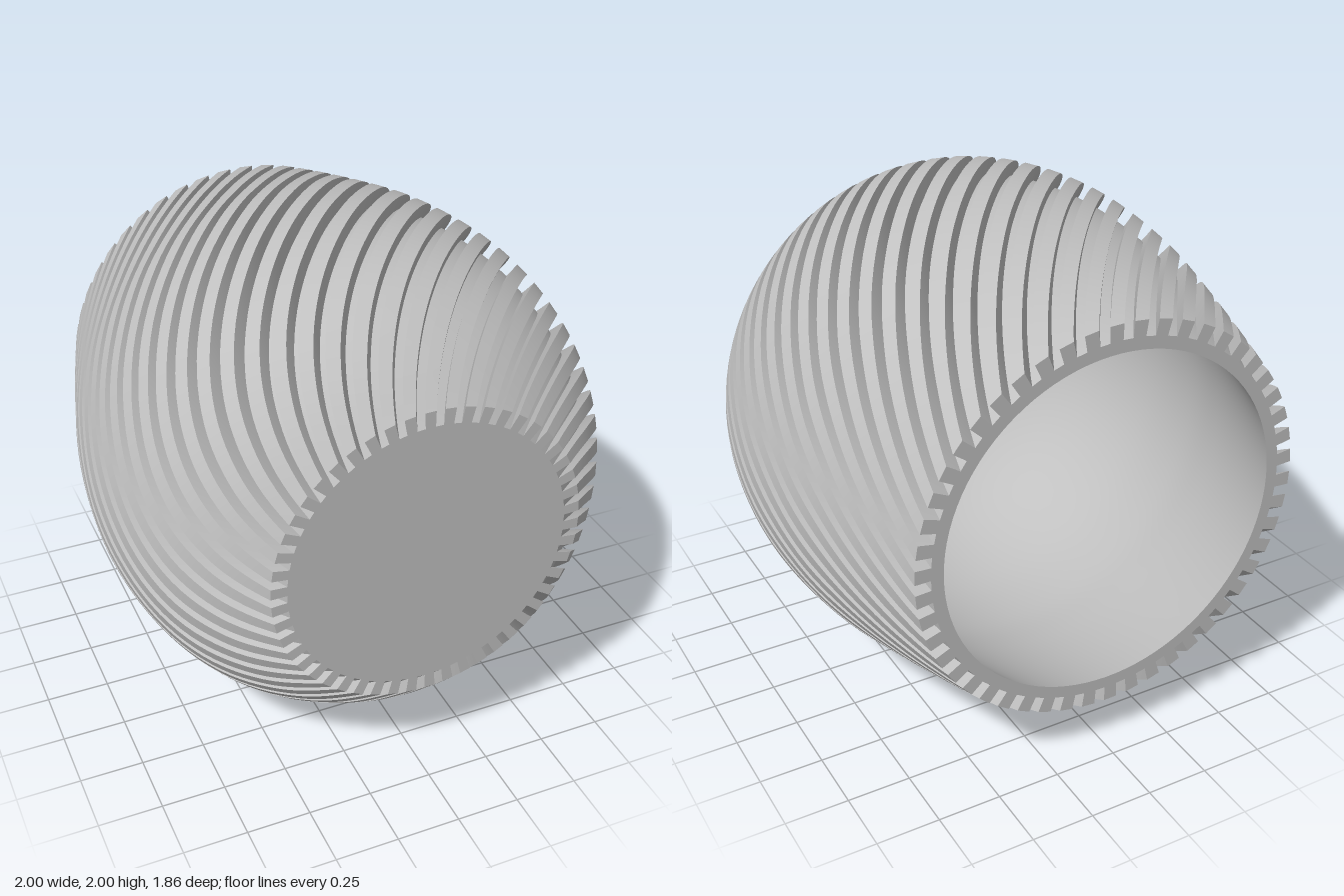
import * as THREE from 'three';

const RIBS = 50;
const HALF = 0.93;            // half length along z
const TWIST = Math.PI / 2;    // turn of each rib from mouth to base
const GROOVE = 0.062;         // depth between ribs
const WALL = 0.11;            // rib crest to inner surface
const RIB_SHARE = 0.56;       // part of the pitch taken by the rib
const PITCH = (Math.PI * 2) / RIBS;

// Crest profile as (z, radius), from the mouth to the base
const profile = new THREE.SplineCurve([
  [-HALF, 0.79], [-0.7, 0.855], [-0.45, 0.92], [-0.2, 0.975], [0.1, 1.0],
  [0.38, 0.968], [0.6, 0.89], [0.78, 0.765], [HALF, 0.61],
].map(([z, r]) => new THREE.Vector2(z, r))).getPoints(48);

const turn = (z) => (TWIST * (z + HALF)) / (2 * HALF);

// Corners of the toothed section in counter-clockwise order: [angle, depth]
function sectionCorners() {
  const corners = [];
  for (let i = 0; i < RIBS; i++) {
    const a = i * PITCH;
    const b = a + PITCH * RIB_SHARE;
    corners.push([a, GROOVE], [a, 0], [b, 0], [b, GROOVE]);
  }
  return corners;
}

function place([angle, depth], ring) {
  const a = angle + turn(ring.x);
  const r = ring.y - depth;
  return [r * Math.cos(a), r * Math.sin(a), ring.x];
}

// Twisted strips, each with its own vertices so that rib edges stay sharp
function ribbedGeometry() {
  const corners = sectionCorners();
  const positions = [];
  const index = [];
  corners.forEach((corner, k) => {
    const next = corners[(k + 1) % corners.length];
    const start = positions.length / 3;
    profile.forEach((ring, i) => {
      positions.push(...place(corner, ring), ...place(next, ring));
      if (i === 0) return;
      const v = start + (i - 1) * 2;
      index.push(v, v + 1, v + 2, v + 1, v + 3, v + 2);
    });
  });
  const geometry = new THREE.BufferGeometry();
  geometry.setAttribute('position', new THREE.Float32BufferAttribute(positions, 3));
  geometry.setIndex(index);
  geometry.computeVertexNormals();
  return geometry;
}

// Flat toothed outline at one end
function sectionShape(ring) {
  return new THREE.Shape(sectionCorners().map((c) => {
    const [x, y] = place(c, ring);
    return new THREE.Vector2(x, y);
  }));
}

export function createModel() {
  const clay = new THREE.MeshStandardMaterial({ color: 0xc0c0c0, side: THREE.DoubleSide });
  clay.name = 'plain grey';

  const vase = new THREE.Group();
  vase.name = 'vase';
  const add = (name, geometry) => {
    const mesh = new THREE.Mesh(geometry, clay);
    mesh.name = name;
    vase.add(mesh);
    return mesh;
  };

  add('spiralRibs', ribbedGeometry());

  // Closed base facing the front
  add('base', new THREE.ShapeGeometry(sectionShape(profile[profile.length - 1]))).position.z = HALF;

  // Toothed rim around the mouth
  const rim = sectionShape(profile[0]);
  rim.holes.push(new THREE.Path().absarc(0, 0, profile[0].y - WALL, 0, Math.PI * 2, true));
  add('rim', new THREE.ShapeGeometry(rim, 48)).position.z = -HALF;

  // Smooth hollow inside: wall and floor
  const floorZ = 0.86;
  const wall = profile.filter((p) => p.x < floorZ)
    .map((p) => new THREE.Vector2(p.y - WALL, p.x)).reverse();
  add('innerWall', new THREE.LatheGeometry(wall, 96).rotateX(Math.PI / 2));
  add('innerFloor', new THREE.CircleGeometry(wall[0].x, 96).rotateY(Math.PI)).position.z = wall[0].y;

  // Lying on its side with the axis along z
  vase.position.y = 1;
  const model = new THREE.Group();
  model.name = 'ribbedVase';
  model.add(vase);
  return model;
}
